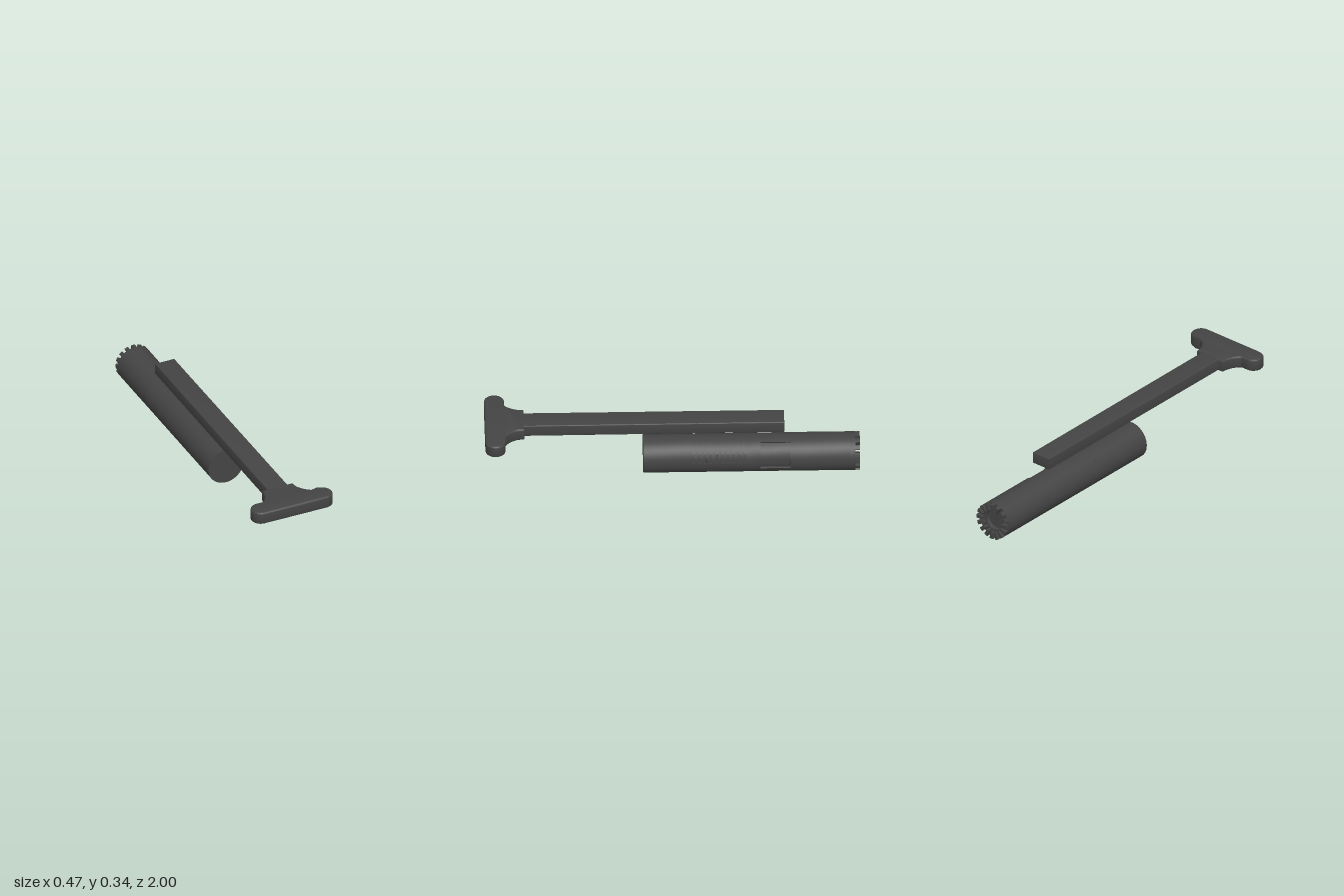
import * as THREE from 'three';
import { toCreasedNormals } from 'three/addons/utils/BufferGeometryUtils.js';

const material = new THREE.MeshStandardMaterial({ color: 0x444444 });
const rad = THREE.MathUtils.degToRad;
const R = 0.103, CX = -0.01, CY = 0.104;

function addMesh(parent, name, geometry) {
  const mesh = new THREE.Mesh(geometry, material);
  mesh.name = name;
  parent.add(mesh);
  return mesh;
}

// Round outline, optionally cut back to a smaller radius between two angles
function roundShape(cut) {
  const pts = [];
  const arc = (r, a, b) => {
    const n = Math.max(4, Math.round((b - a) / 9));
    for (let i = 0; i <= n; i++) {
      const t = rad(a + (b - a) * i / n);
      pts.push(new THREE.Vector2(r * Math.cos(t), r * Math.sin(t)));
    }
  };
  if (cut) {
    arc(cut.r, cut.from, cut.to);
    arc(R, cut.to, cut.from + 360);
  } else {
    arc(R, 0, 360);
    pts.pop();
  }
  return new THREE.Shape(pts);
}

function slab(shape, zBack, zFront) {
  const g = new THREE.ExtrudeGeometry(shape, { depth: zFront - zBack, bevelEnabled: false, curveSegments: 24 });
  return toCreasedNormals(g.translate(0, 0, zBack), 0.5);
}

function createCarrier() {
  const carrier = new THREE.Group();
  carrier.name = 'cylinderBody';
  carrier.position.set(CX, CY, 0);
  const full = roundShape();

  // Front barrel section with a row of narrow grip slots on the model's left
  const slot = roundShape({ r: 0.09, from: 0, to: 30 });
  const slots = 10, pitch = 0.0308, width = 0.013;
  let front = 0.155;
  for (let i = 0; i < slots; i++) {
    const z = -0.105 - i * pitch;
    addMesh(carrier, 'barrelSection', slab(full, z, front));
    addMesh(carrier, 'gripSlot', slab(slot, z - width, z));
    front = z - width;
  }
  addMesh(carrier, 'barrelSection', slab(full, -0.47, front));

  // Shallow recessed panel with two fasteners
  addMesh(carrier, 'recessedPanel', slab(roundShape({ r: 0.093, from: -23, to: 66 }), -0.63, -0.47));
  for (const angle of [41, -3]) {
    const head = new THREE.CylinderGeometry(0.011, 0.011, 0.008, 16);
    head.rotateZ(-Math.PI / 2).translate(0.093, 0, -0.55).rotateZ(rad(angle));
    addMesh(carrier, 'fastener', head);
  }

  // Rear barrel and the rim around the end socket
  addMesh(carrier, 'rearBarrel', slab(full, -0.95, -0.63));
  const rim = roundShape();
  rim.holes.push(new THREE.Path().absarc(0, 0, 0.057, 0, Math.PI * 2, true));
  addMesh(carrier, 'socketRim', slab(rim, -0.975, -0.95));

  // Crown of teeth at the back
  const count = 16, half = rad(6.2);
  for (let i = 0; i < count; i++) {
    const a = i / count * Math.PI * 2;
    const tooth = new THREE.Shape();
    tooth.absarc(0, 0, R, a - half, a + half, false);
    tooth.absarc(0, 0, 0.066, a + half, a - half, true);
    addMesh(carrier, 'crownTooth', slab(tooth, -1, -0.975));
  }
  return carrier;
}

// Flat plan outline (x, z) given thickness and softened edges
function plate(shape, bottom, top, bevel) {
  const g = new THREE.ExtrudeGeometry(shape, {
    depth: top - bottom - 2 * bevel, bevelThickness: bevel, bevelSize: bevel,
    bevelOffset: -bevel, bevelSegments: 3, curveSegments: 12,
  });
  g.rotateX(Math.PI / 2).translate(0, top - bevel, 0);
  return toCreasedNormals(g, 0.6);
}

function createHandle() {
  const handle = new THREE.Group();
  handle.name = 'pullHandle';

  // T-shaped grip: rounded bar, concave shoulders and a square neck
  const grip = new THREE.Shape();
  grip.moveTo(-0.1, 0.79);
  grip.lineTo(0.08, 0.79);
  grip.lineTo(0.085, 0.825);
  grip.quadraticCurveTo(0.1, 0.865, 0.14, 0.892);
  grip.lineTo(0.19, 0.892);
  grip.absarc(0.183, 0.946, 0.054, -Math.PI / 2, Math.PI / 2, false);
  grip.lineTo(-0.183, 1);
  grip.absarc(-0.183, 0.946, 0.054, Math.PI / 2, Math.PI * 1.5, false);
  grip.lineTo(-0.145, 0.892);
  grip.quadraticCurveTo(-0.115, 0.865, -0.105, 0.825);
  grip.closePath();
  addMesh(handle, 'grip', plate(grip, 0.268, 0.338, 0.01));

  // Long shaft
  const shaft = new THREE.Shape();
  shaft.moveTo(-0.07, -0.597);
  shaft.lineTo(0.043, -0.597);
  shaft.lineTo(0.048, 0.85);
  shaft.lineTo(-0.07, 0.85);
  shaft.closePath();
  addMesh(handle, 'shaft', plate(shaft, 0.27, 0.337, 0.005));
  return handle;
}

export function createModel() {
  const model = new THREE.Group();
  model.name = 'handleAndCarrier';
  model.add(createCarrier(), createHandle());
  return model;
}
